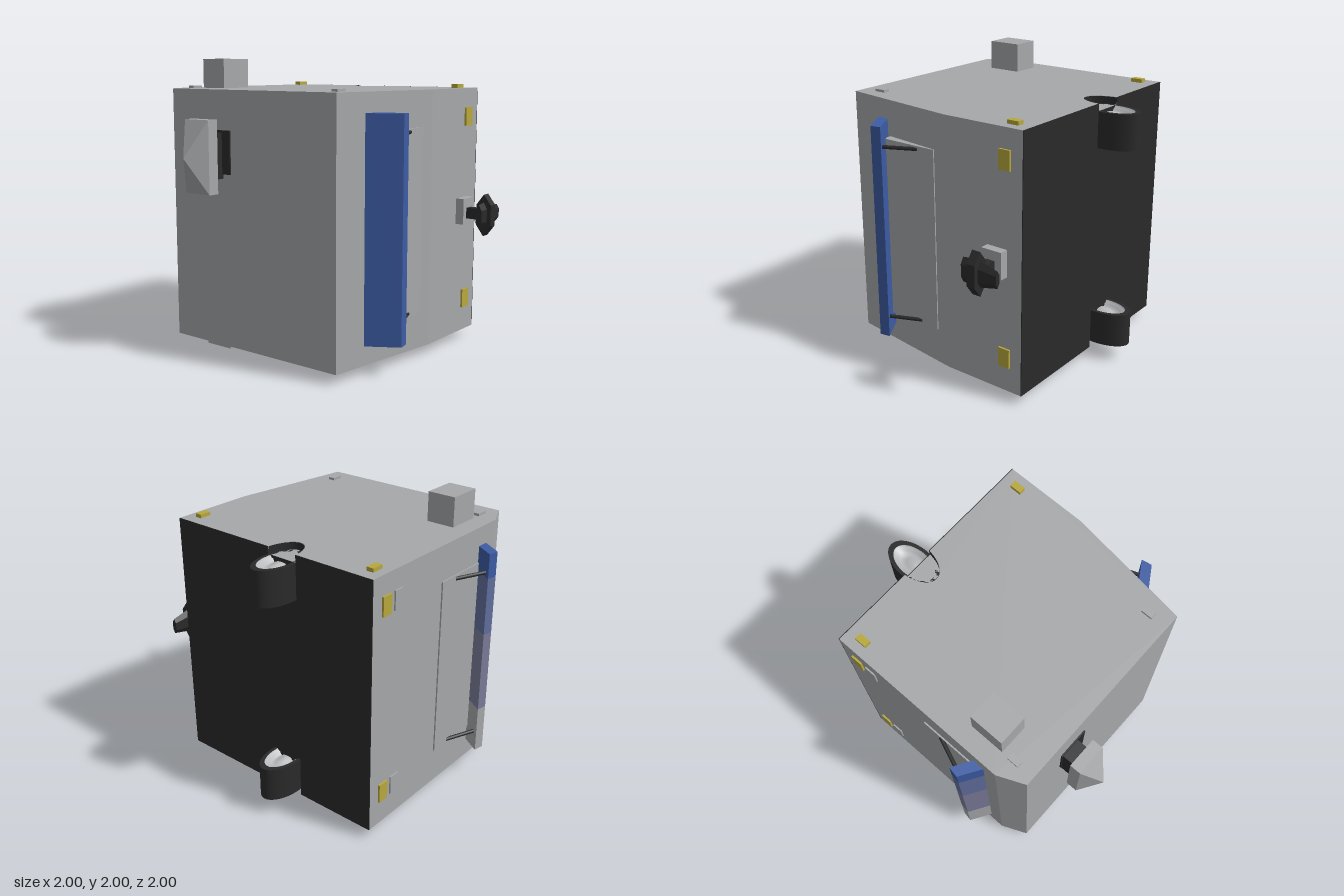
import * as THREE from 'three';

const mat = (name, color, side = THREE.FrontSide) => {
  const m = new THREE.MeshStandardMaterial({ color, side });
  m.name = name;
  return m;
};

export function createModel() {
  const root = new THREE.Group();
  root.name = 'boxSatellite';
  const grey = mat('hull grey', 0xa6a8aa);
  const black = mat('matte black', 0x2a2a2a, THREE.DoubleSide);
  const yellow = mat('marker yellow', 0xb8a83e);
  const blue = mat('panel blue', 0x3c5ca4);
  const slate = mat('panel slate blue', 0x626f9e);
  const mauve = mat('panel mauve', 0x7b7d9a);
  const silver = mat('dish silver', 0xb8babc, THREE.DoubleSide);

  const add = (name, geo, m, x = 0, y = 0, z = 0, parent = root) => {
    const mesh = new THREE.Mesh(geo, m);
    mesh.name = name;
    mesh.position.set(x, y, z);
    parent.add(mesh);
    return mesh;
  };
  // box from its min/max limits
  const box = (name, m, x0, x1, y0, y1, z0, z1) =>
    add(name, new THREE.BoxGeometry(x1 - x0, y1 - y0, z1 - z0), m,
      (x0 + x1) / 2, (y0 + y1) / 2, (z0 + z1) / 2);
  const shape = pts => new THREE.Shape(pts.map(p => new THREE.Vector2(p[0], p[1])));
  // plan outline in (x, z) raised from y0 to y1
  const prism = (name, m, pts, y0, y1) => {
    const g = new THREE.ExtrudeGeometry(shape(pts), { depth: y1 - y0, bevelEnabled: false });
    g.rotateX(Math.PI / 2);
    return add(name, g, m, 0, y1, 0);
  };

  // hull: full middle, with notched slabs above and below
  const cx = -0.165, cz = -0.795, rx = 0.115, rz = 0.205;
  const sides = [[0.75, -0.76], [0.75, -0.17], [0.635, 0.71], [-0.78, 0.71], [-0.86, 0.53], [-0.86, -0.76]];
  const notch = [];
  const a0 = Math.asin((-0.76 - cz) / rz);
  for (let i = 0; i <= 24; i++) {
    const a = Math.PI - a0 - (Math.PI - 2 * a0) * i / 24;
    notch.push([cx + rx * Math.cos(a), cz + rz * Math.sin(a)]);
  }
  prism('hullMiddle', grey, sides, 0.12, 1.75);
  prism('hullTop', grey, [...sides, ...notch], 1.75, 1.8);
  prism('hullBottom', grey, [...sides, ...notch], 0.07, 0.12);

  // black rear cover with a gap at each notch
  const l = cx - 0.113, r = cx + 0.113;
  const cover = new THREE.ExtrudeGeometry(shape([
    [-0.86, 0.07], [l, 0.07], [l, 0.12], [r, 0.12], [r, 0.07], [0.75, 0.07],
    [0.75, 1.8], [r, 1.8], [r, 1.75], [l, 1.75], [l, 1.8], [-0.86, 1.8],
  ]), { depth: 0.005, bevelEnabled: false });
  add('rearCover', cover, black, 0, 0, -0.765);

  // two elliptical rear tubes with a stepped dish at each end
  const dishPts = [[0.8, 0], [0.74, -0.012], [0.6, -0.02], [0.56, -0.035], [0.36, -0.04],
    [0.32, -0.025], [0.02, -0.02], [0, -0.02]].map(p => new THREE.Vector2(p[0], p[1]));
  for (const [y0, y1, n0, n1] of [[1.51, 1.75, 1.75, 1.798], [0.12, 0.355, 0.072, 0.12]]) {
    const tube = new THREE.Group();
    tube.name = 'rearTube';
    tube.position.set(cx, (y0 + y1) / 2, cz);
    tube.scale.set(rx, 1, rz);
    root.add(tube);
    const h = y1 - y0;
    add('tubeWall', new THREE.CylinderGeometry(1, 1, h, 40, 1, true), black, 0, 0, 0, tube);
    for (const s of [1, -1]) {
      const rim = add('tubeRim', new THREE.RingGeometry(0.8, 1, 40), black, 0, s * h / 2, 0, tube);
      rim.rotation.x = -s * Math.PI / 2;
      const dish = add('tubeDish', new THREE.LatheGeometry(dishPts, 40), silver, 0, s * h / 2, 0, tube);
      if (s < 0) dish.rotation.x = Math.PI;
    }
    const liner = add('notchLiner', new THREE.CylinderGeometry(0.985, 0.985, n1 - n0, 30, 1, true,
      -Math.PI / 2 + 0.18, Math.PI - 0.36), black, 0, (n0 + n1) / 2 - (y0 + y1) / 2, 0, tube);
    liner.name = 'notchLiner';
  }

  // roof box and chamfered rail under the hull
  box('roofBox', grey, -0.73, -0.53, 1.8, 2.0, 0.23, 0.47);
  prism('bottomRail', grey, [[-0.63, -0.58], [-0.59, -0.63], [-0.39, -0.63], [-0.35, -0.58],
    [-0.35, 0.5], [-0.38, 0.6], [-0.6, 0.6], [-0.63, 0.5]], 0.005, 0.07);

  // front horn: base plate, neck, block and pyramid
  prism('hornPlate', black, [[-0.46, 0.7], [-0.24, 0.7], [-0.24, 0.72], [-0.46, 0.72]], 1.245, 1.535);
  box('hornNeck', black, -0.45, -0.31, 1.215, 1.52, 0.7, 0.8);
  box('hornBlock', grey, -0.485, -0.27, 1.125, 1.61, 0.8, 0.878);
  const pyramid = new THREE.CylinderGeometry(0, Math.SQRT1_2, 0.122, 4, 1, true).toNonIndexed();
  pyramid.rotateY(Math.PI / 4).rotateX(Math.PI / 2).scale(0.215, 0.485, 1);
  pyramid.computeVertexNormals();
  add('hornPyramid', pyramid, grey, -0.3775, 1.3675, 0.939);

  // thruster cluster on the left side
  box('thrusterBracket', grey, 0.74, 0.81, 0.86, 1.04, -0.65, -0.5);
  box('thrusterShaft', black, 0.81, 0.93, 0.9, 0.975, -0.6, -0.54);
  const hex = (name, rFront, rBack, len, sx, sy, z) => {
    const g = new THREE.CylinderGeometry(rFront, rBack, len, 6, 1).toNonIndexed();
    g.rotateX(Math.PI / 2).scale(sx, sy, 1);
    g.computeVertexNormals();
    add(name, g, black, 0.945, 0.935, z);
  };
  hex('thrusterDisc', 1, 1, 0.06, 0.0635, 0.145, -0.57);
  hex('thrusterFrontArm', 0.9, 1, 0.07, 0.03, 0.09, -0.505);
  hex('thrusterRearArm', 1, 0.65, 0.13, 0.03, 0.085, -0.665);

  // side doors
  box('leftDoor', grey, 0.66, 0.745, 0.315, 1.558, -0.07, 0.357);
  box('rightDoor', grey, -0.87, -0.85, 0.315, 1.558, -0.07, 0.357);

  // angled side flaps and struts, mirrored about the hull centre
  const mirror = x => -0.13 - x;
  const flap = [[0.857, 0.27], [0.87, 0.342], [0.67, 0.468], [0.652, 0.395]];
  prism('leftFlap', blue, flap, 0.2, 1.67);
  const mirrored = flap.map(([x, z]) => [mirror(x), z]);
  [[grey, 0.2, 0.53], [mauve, 0.53, 1.1], [slate, 1.1, 1.5], [blue, 1.5, 1.67]].forEach(
    ([m, y0, y1]) => prism('rightFlapBand', m, mirrored, y0, y1));
  for (const f of [x => x, mirror]) for (const y of [0.332, 1.53]) {
    const path = new THREE.LineCurve3(
      new THREE.Vector3(f(0.825), y, 0.3), new THREE.Vector3(f(0.735), y + 0.005, 0.07));
    add('flapStrut', new THREE.TubeGeometry(path, 1, 0.013, 8), black);
  }

  // corner marker tabs
  for (const [y0, y1] of [[1.79, 1.825], [0.04, 0.08]]) {
    for (const x of [-0.772, 0.66]) box('yellowTab', yellow, x - 0.024, x + 0.024, y0, y1, -0.68, -0.597);
    for (const x of [-0.717, 0.535]) box('greyTab', grey, x - 0.023, x + 0.023, y0 + 0.005, y1 - 0.008, 0.52, 0.6);
  }
  for (const [y0, y1] of [[1.54, 1.668], [0.24, 0.37]]) {
    box('leftSideTab', yellow, 0.74, 0.764, y0, y1, -0.677, -0.592);
    box('rightSideTab', yellow, -0.873, -0.85, y0, y1, -0.677, -0.597);
    box('rightSideGreyTab', grey, -0.87, -0.85, y0, y1, -0.56, -0.48);
  }
  return root;
}
